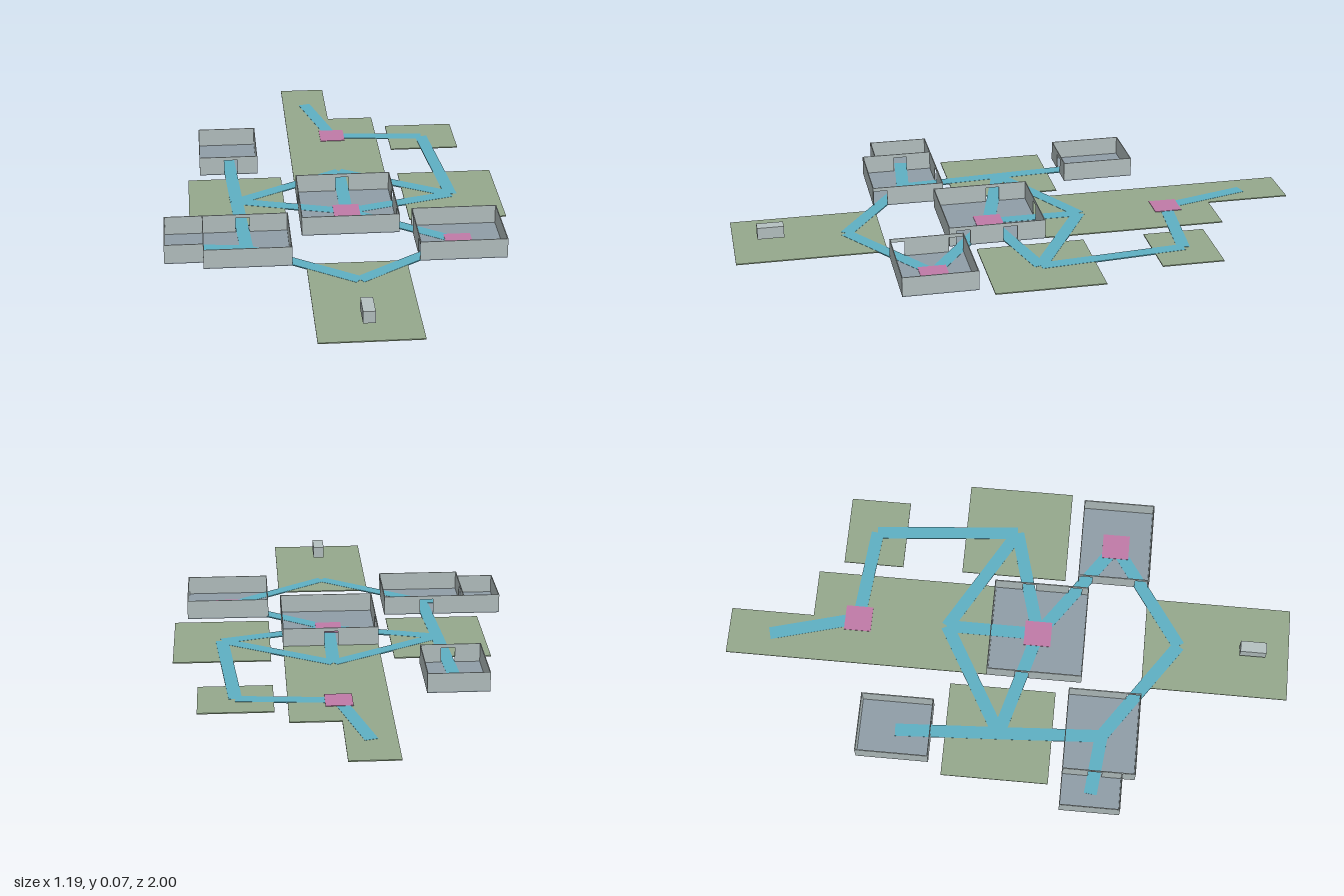
import * as THREE from 'three';

const FLOOR = 0.004, WALL_TOP = 0.07, DOOR_TOP = 0.057, DOOR_WIDTH = 0.048, THICK = 0.003;

const mat = (color) => new THREE.MeshStandardMaterial({ color });
const materials = {
  yard: mat(0x95a98d),
  room: mat(0x909ea8),
  wall: mat(0xb6c2c2),
  path: mat(0x5fb0c4),
  marker: mat(0xc07ba8),
};

// Areas as [x0, x1, z0, z1]
const yards = {
  northEndYard: [-0.127, 0.04, -1, -0.705],
  northYard: [-0.127, 0.21, -0.705, -0.38],
  innerNorthYard: [-0.127, 0.21, -0.38, -0.065],
  northEastYard: [0.255, 0.507, -0.62, -0.405],
  eastYard: [0.255, 0.595, -0.19, 0.185],
  westYard: [-0.51, -0.173, -0.19, 0.185],
  innerSouthYard: [-0.127, 0.21, 0.485, 0.73],
  southYard: [-0.127, 0.21, 0.73, 1],
};

// Walled rooms: the position of each doorway along its wall; a missing side is open
const rooms = {
  centreRoom: { area: [-0.127, 0.21, -0.065, 0.272], n: [0.04], s: [], w: [0.058], e: [0.058, 0.223] },
  southEastRoom: { area: [0.255, 0.55, 0.23, 0.485], n: [], s: [], w: [0.257, 0.458], e: [] },
  southWestRoom: { area: [-0.467, -0.172, 0.23, 0.485], n: [-0.328], s: [], w: [0.345], e: [0.458] },
  sideRoom: { area: [-0.597, -0.467, 0.23, 0.44], n: [], s: [], w: [] },
  northWestRoom: { area: [-0.467, -0.256, -0.493, -0.238], n: [], s: [-0.353], w: [], e: [] },
};

const links = [
  ['northEndYard', 'northYard'],
  ['northYard', 'northEastYard'],
  ['northEastYard', 'eastYard'],
  ['innerNorthYard', 'eastYard'],
  ['innerNorthYard', 'westYard'],
  ['innerNorthYard', 'centreRoom'],
  ['centreRoom', 'eastYard'],
  ['centreRoom', 'westYard'],
  ['centreRoom', 'southEastRoom'],
  ['northWestRoom', 'westYard'],
  ['westYard', 'southWestRoom'],
  ['southWestRoom', 'sideRoom'],
  ['southWestRoom', 'innerSouthYard'],
  ['southEastRoom', 'innerSouthYard'],
];

const areaOf = (name) => yards[name] || rooms[name].area;
const centre = ([x0, x1, z0, z1]) => new THREE.Vector2((x0 + x1) / 2, (z0 + z1) / 2);

function box(name, material, [x0, x1, z0, z1], y0, y1) {
  const mesh = new THREE.Mesh(new THREE.BoxGeometry(x1 - x0, y1 - y0, z1 - z0), material);
  mesh.position.set((x0 + x1) / 2, (y0 + y1) / 2, (z0 + z1) / 2);
  mesh.name = name;
  return mesh;
}

// Upright wall outline from a to b, with doorways notched out of its foot
function wallGeometry(a, b, doors) {
  const shape = new THREE.Shape();
  shape.moveTo(a, WALL_TOP);
  shape.lineTo(a, FLOOR);
  for (const d of doors) {
    const l = Math.max(d - DOOR_WIDTH / 2, a + 0.002), r = Math.min(d + DOOR_WIDTH / 2, b - 0.002);
    shape.lineTo(l, FLOOR);
    shape.lineTo(l, DOOR_TOP);
    shape.lineTo(r, DOOR_TOP);
    shape.lineTo(r, FLOOR);
  }
  shape.lineTo(b, FLOOR);
  shape.lineTo(b, WALL_TOP);
  return new THREE.ExtrudeGeometry(shape, { depth: THICK, bevelEnabled: false });
}

function makeRoom(name, { area, ...sides }) {
  const [x0, x1, z0, z1] = area;
  const group = new THREE.Group();
  group.name = name;
  group.add(box('roomFloor', materials.room, area, 0, FLOOR));
  const names = { n: 'northWall', s: 'southWall', w: 'westWall', e: 'eastWall' };
  for (const [side, doors] of Object.entries(sides)) {
    let geo;
    if (side === 'n' || side === 's') {
      geo = wallGeometry(x0, x1, doors).translate(0, 0, side === 'n' ? z0 : z1 - THICK);
    } else {
      // Drawn along -z, then turned so the outline runs along z
      const turned = doors.map((d) => -d).sort((p, q) => p - q);
      geo = wallGeometry(-z1, -z0, turned).rotateY(Math.PI / 2).translate(side === 'w' ? x0 : x1 - THICK, 0, 0);
    }
    const wall = new THREE.Mesh(geo, materials.wall);
    wall.name = names[side];
    group.add(wall);
  }
  return group;
}

// Flat strip between the centres of two areas
function makePath(from, to) {
  const a = centre(areaOf(from)), b = centre(areaOf(to));
  const mesh = new THREE.Mesh(new THREE.BoxGeometry(a.distanceTo(b), FLOOR, 0.045), materials.path);
  mesh.position.set((a.x + b.x) / 2, FLOOR / 2 + 0.0007, (a.y + b.y) / 2);
  mesh.rotation.y = -Math.atan2(b.y - a.y, b.x - a.x);
  mesh.name = 'path';
  return mesh;
}

export function createModel() {
  const model = new THREE.Group();
  model.name = 'floorPlan';

  for (const [name, area] of Object.entries(yards)) model.add(box(name, materials.yard, area, 0, FLOOR));
  for (const [name, room] of Object.entries(rooms)) model.add(makeRoom(name, room));
  for (const [from, to] of links) model.add(makePath(from, to));

  // Square floor markers
  for (const name of ['northYard', 'centreRoom', 'southEastRoom']) {
    const { x, y: z } = centre(areaOf(name));
    model.add(box('floorMarker', materials.marker, [x - 0.046, x + 0.046, z - 0.048, z + 0.048], FLOOR, FLOOR + 0.002));
  }

  // Small raised block in the south yard
  model.add(box('startBlock', materials.wall, [0.021, 0.061, 0.824, 0.916], 0.018, 0.06));
  return model;
}
